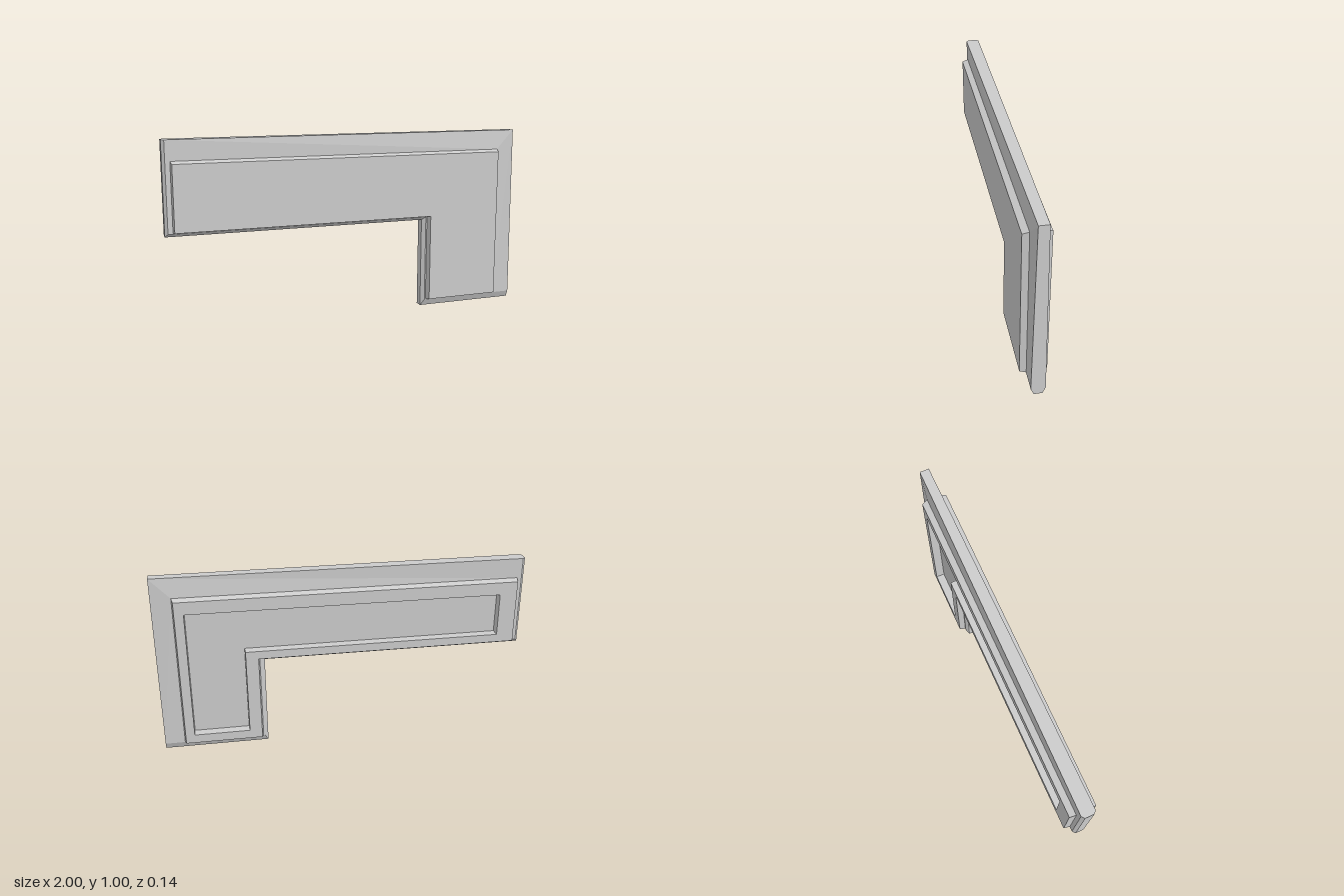
import * as THREE from 'three';

const material = new THREE.MeshStandardMaterial({ color: 0xcccccc, flatShading: true });

// L-shaped outline, counter-clockwise seen from the front, starting at the inner corner.
// z is one depth, or one depth for each of the six corners.
function ring(left, right, bottom, top, innerX, innerY, z) {
  const outline = [
    [innerX, innerY], [innerX, bottom], [right, bottom],
    [right, top], [left, top], [left, innerY],
  ];
  return outline.map(([x, y], i) => new THREE.Vector3(x, y, Array.isArray(z) ? z[i] : z));
}

// The same outline on the back side
const mirror = (r) => r.map((p) => new THREE.Vector3(p.x, p.y, -p.z));

// Skin a run of outlines from front to back, optionally closing either end
function loft(name, rings, { frontCap = false, backCap = false } = {}) {
  const points = [];
  const triangle = (a, b, c) => {
    const area = b.clone().sub(a).cross(c.clone().sub(a)).length();
    if (area > 1e-8) points.push(a, b, c);
  };
  for (let k = 0; k + 1 < rings.length; k++) {
    const f = rings[k], r = rings[k + 1];
    for (let i = 0; i < 6; i++) {
      const j = (i + 1) % 6;
      triangle(f[i], r[i], r[j]);
      triangle(f[i], r[j], f[j]);
    }
  }
  // The inner corner sees the whole L, so a fan fills it
  const first = rings[0], last = rings[rings.length - 1];
  for (let i = 1; i < 5; i++) {
    if (frontCap) triangle(first[0], first[i], first[i + 1]);
    if (backCap) triangle(last[0], last[i + 1], last[i]);
  }
  const geometry = new THREE.BufferGeometry().setFromPoints(points);
  geometry.computeVertexNormals();
  const mesh = new THREE.Mesh(geometry, material);
  mesh.name = name;
  return mesh;
}

export function createModel() {
  const group = new THREE.Group();
  group.name = 'cornerPanel';

  // Plate: bevelled on the left, bottom and inner edges, thinner at the outer corner
  const rim = ring(-1, 1, 0, 1, 0.43, 0.505, [0.022, 0.022, 0.022, 0.026, 0.024, 0.022]);
  const bevel = ring(-0.985, 1, 0.036, 1, 0.45, 0.522, [0.037, 0.037, 0.037, 0.026, 0.037, 0.037]);
  // Raised panel: foot and face
  const foot = ring(-0.96, 0.893, 0.04, 0.892, 0.457, 0.525, 0.037);
  const face = ring(-0.955, 0.885, 0.046, 0.88, 0.465, 0.53, 0.07);
  // Sunken field in the back
  const opening = ring(-0.86, 0.836, 0.095, 0.81, 0.533, 0.575, -0.07);
  const floor = ring(-0.858, 0.834, 0.097, 0.808, 0.535, 0.577, -0.022);

  group.add(
    loft('frontPanel', [face, foot], { frontCap: true }),
    loft('plate', [foot, bevel, rim, mirror(rim), mirror(bevel), mirror(foot)]),
    loft('backFrame', [mirror(foot), mirror(face), opening]),
    loft('backRecess', [opening, floor], { backCap: true }),
  );
  return group;
}
